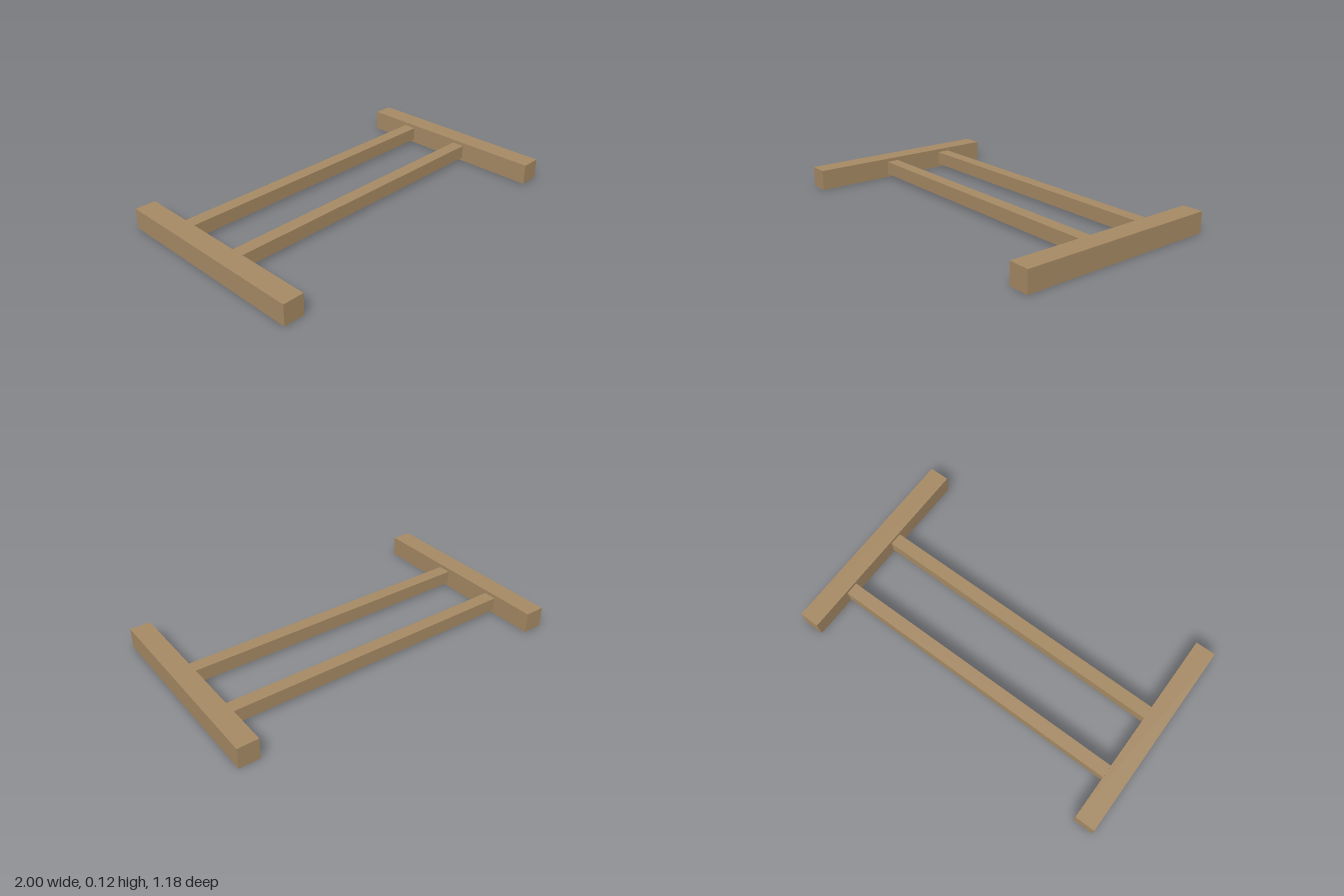
import * as THREE from 'three';

export function createModel() {
  const wood = new THREE.MeshStandardMaterial({ color: 0xa68a64 });
  wood.name = 'wood';
  const model = new THREE.Group();
  model.name = 'woodenFrame';

  const addBeam = (name, size, position) => {
    const beam = new THREE.Mesh(new THREE.BoxGeometry(...size), wood);
    beam.name = name;
    beam.position.set(...position);
    model.add(beam);
  };

  const thickness = 0.118;
  const inner = 1 - thickness;

  // Thick side beams resting on the ground
  for (const side of [-1, 1]) {
    addBeam(side > 0 ? 'leftSideBeam' : 'rightSideBeam',
      [thickness, 0.12, 1.184], [side * (1 - thickness / 2), 0.06, 0]);
  }

  // Slimmer rails spanning between the side beams
  for (const [name, z] of [['backRail', -0.297], ['frontRail', 0.099]]) {
    addBeam(name, [2 * inner, 0.08, 0.076], [0, 0.06, z]);
  }

  return model;
}
